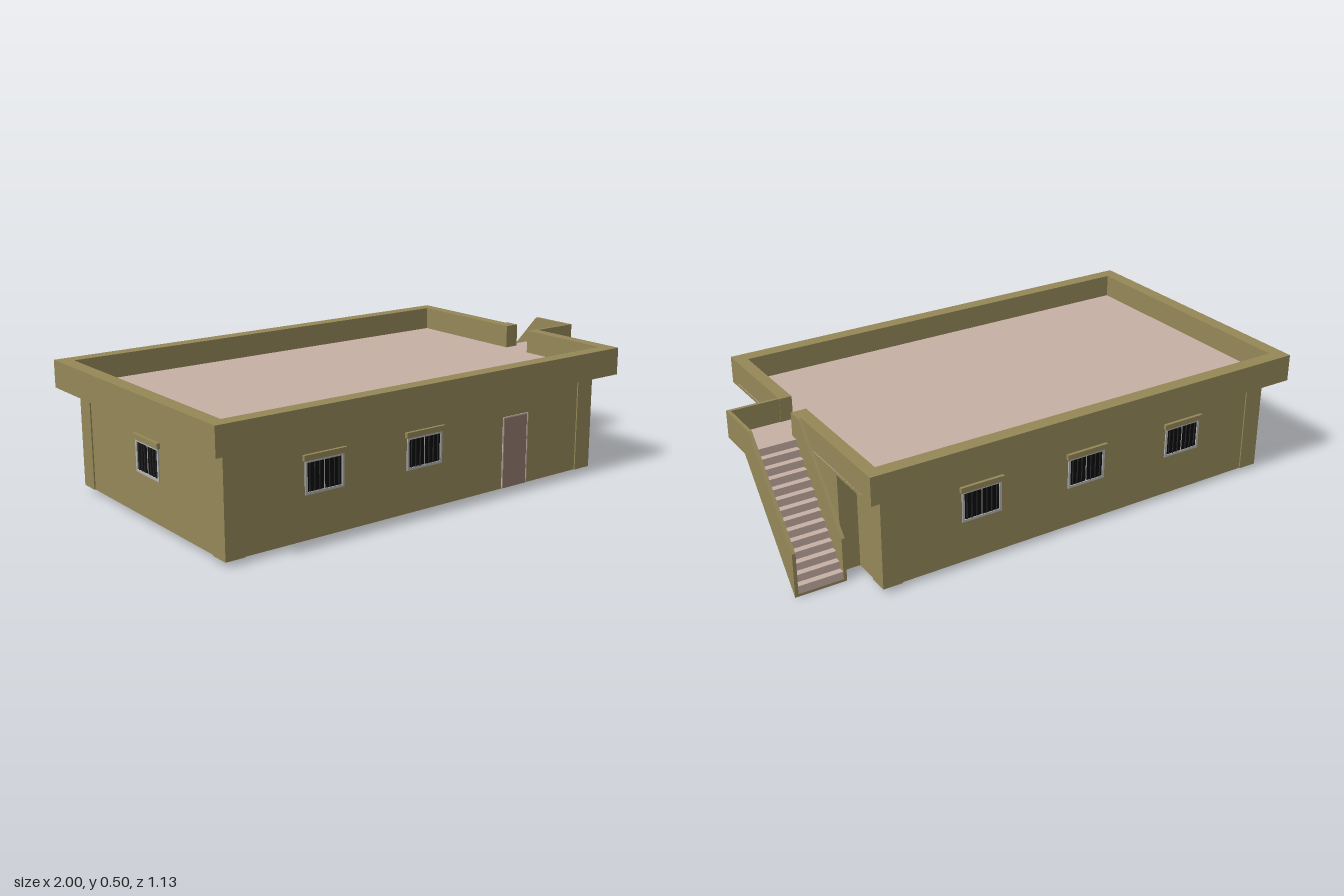
import * as THREE from 'three';

const material = (color) => new THREE.MeshStandardMaterial({ color, flatShading: true });
const olive = material(0x968959);
const pink = material(0xc8b1a7);
const doorPink = material(0x977c72);
const frameGrey = material(0xb4b4b4);
const glassBlack = material(0x0c0c0c);
const barDark = material(0x2a2a2a);

// Box given by its min and max on each axis
function box(parent, name, mat, x0, x1, y0, y1, z0, z1) {
  const mesh = new THREE.Mesh(new THREE.BoxGeometry(x1 - x0, y1 - y0, z1 - z0), mat);
  mesh.position.set((x0 + x1) / 2, (y0 + y1) / 2, (z0 + z1) / 2);
  mesh.name = name;
  parent.add(mesh);
  return mesh;
}

// Outline in (z, y), extruded along x from x0 to x1
function sidePlate(parent, name, mat, points, x0, x1) {
  const shape = new THREE.Shape(points.map(([z, y]) => new THREE.Vector2(z, y)));
  const geo = new THREE.ExtrudeGeometry(shape, { depth: x1 - x0, bevelEnabled: false });
  geo.rotateY(-Math.PI / 2).translate(x1, 0, 0);
  const mesh = new THREE.Mesh(geo, mat);
  mesh.name = name;
  parent.add(mesh);
}

// Barred window with lintel, facing +z, wall plane at z = 0
function makeWindow() {
  const g = new THREE.Group();
  g.name = 'window';
  const w = 0.08, y0 = 0.18, y1 = 0.3, t = 0.009;
  box(g, 'windowGlass', glassBlack, -w + t, w - t, y0 + t, y1 - t, -0.004, 0.001);
  for (const s of [-1, 1]) {
    const x = s * (w - t / 2);
    box(g, 'windowJamb', frameGrey, x - t / 2, x + t / 2, y0, y1, -0.005, 0.005);
  }
  box(g, 'windowSill', frameGrey, -w + t, w - t, y0, y0 + t, -0.005, 0.005);
  box(g, 'windowHead', frameGrey, -w + t, w - t, y1 - t, y1, -0.005, 0.005);
  box(g, 'windowMullion', frameGrey, -0.002, 0.002, y0 + t, y1 - t, 0, 0.002);
  for (let i = -3; i <= 3; i++) {
    if (i === 0) continue;
    box(g, 'windowBar', barDark, i * 0.02 - 0.0015, i * 0.02 + 0.0015, y0 + t, y1 - t, 0, 0.004);
  }
  box(g, 'windowLintel', olive, -0.088, 0.088, y1, 0.32, -0.005, 0.012);
  return g;
}

export function createModel() {
  const model = new THREE.Group();
  model.name = 'house';

  // Walls and corner pillars
  const X0 = -0.935, X1 = 0.74, Z = 0.498, IN = 0.005;
  box(model, 'walls', olive, X0 + IN, X1 - IN, 0.02, 0.395, -Z + IN, Z - IN);
  for (const s of [-1, 1]) {
    const za = s > 0 ? 0.422 : -Z, zb = s > 0 ? Z : -0.422;
    box(model, 'cornerPillar', olive, X0, X0 + 0.076, 0.02, 0.395, za, zb);
    box(model, 'cornerPillar', olive, X1 - 0.076, X1, 0.02, 0.395, za, zb);
  }

  // Roof slab, terrace floor and parapet with an opening to the stairs
  const R0 = -1, R1 = 0.805, RZ = 0.565, P = 0.055;
  const base = 0.395, top = 0.5, floor = 0.41;
  box(model, 'roofSlab', olive, R0, R1, base, floor - 0.004, -RZ, RZ);
  box(model, 'terraceFloor', pink, R0 + P, R1, floor - 0.004, floor, -RZ + P, RZ - P);
  box(model, 'parapetFront', olive, R0, R1, base, top, RZ - P, RZ);
  box(model, 'parapetBack', olive, R0, R1, base, top, -RZ, -RZ + P);
  box(model, 'parapetLeft', olive, R0, R0 + P, base, top, -RZ + P, RZ - P);
  box(model, 'parapetRightFront', olive, R1 - 0.047, R1, base, top, 0.12, RZ - P);
  box(model, 'parapetRightBack', olive, R1 - 0.047, R1, base, top, -RZ + P, 0);

  // Windows: [x, z, turn]
  const windows = [
    [-0.54, Z - IN, 0], [-0.105, Z - IN, 0],
    [0.345, -Z + IN, Math.PI], [-0.1, -Z + IN, Math.PI], [-0.545, -Z + IN, Math.PI],
    [X1 - IN, 0.207, Math.PI / 2], [X0 + IN, 0, -Math.PI / 2],
  ];
  for (const [x, z, turn] of windows) {
    const w = makeWindow();
    w.position.set(x, 0, z);
    w.rotation.y = turn;
    model.add(w);
  }

  // Front door with thin frame
  const D = Z - IN;
  box(model, 'door', doorPink, 0.279, 0.396, 0.02, 0.291, D - 0.005, D + 0.002);
  box(model, 'doorJamb', pink, 0.274, 0.279, 0.02, 0.296, D - 0.005, D + 0.004);
  box(model, 'doorJamb', pink, 0.396, 0.401, 0.02, 0.296, D - 0.005, D + 0.004);
  box(model, 'doorHead', pink, 0.279, 0.396, 0.291, 0.296, D - 0.005, D + 0.004);

  // Outside staircase
  const stairs = new THREE.Group();
  stairs.name = 'staircase';
  model.add(stairs);
  box(stairs, 'stairSupportWall', olive, X1 - IN, R1, 0.02, base, -0.32, -0.042);
  sidePlate(stairs, 'outerStairWall', olive,
    [[0.135, 0.5], [0.135, 0.395], [-0.01, 0.395], [-0.355, 0], [-0.355, 0.17], [-0.06, 0.5]], 0.987, 1);
  sidePlate(stairs, 'innerStairWall', olive,
    [[0, 0.5], [0, 0.395], [-0.01, 0.395], [-0.355, 0], [-0.355, 0.17], [-0.06, 0.5]], R1, 0.817);
  box(stairs, 'landingFrontWall', olive, R1, 0.987, base, top, 0.122, 0.135);
  box(stairs, 'landingSlab', olive, R1, 0.987, base, floor - 0.004, -0.01, 0.122);
  box(stairs, 'landingFloor', pink, R1, 0.987, floor - 0.004, floor, -0.01, 0.122);
  sidePlate(stairs, 'stairUnderside', olive,
    [[-0.355, 0], [-0.01, 0.395], [-0.01, 0.405], [-0.355, 0.01]], 0.817, 0.987);

  // Steps climbing from the back up to the landing
  const count = 14, run = 0.345 / count, rise = (floor - 0.012) / count;
  const profile = [[-0.01, 0.402], [-0.355, 0.007]];
  for (let i = 0; i < count; i++) {
    const y = 0.012 + (i + 1) * rise;
    profile.push([-0.355 + i * run, y], [-0.355 + (i + 1) * run, y]);
  }
  sidePlate(stairs, 'steps', pink, profile, 0.817, 0.987);

  return model;
}
